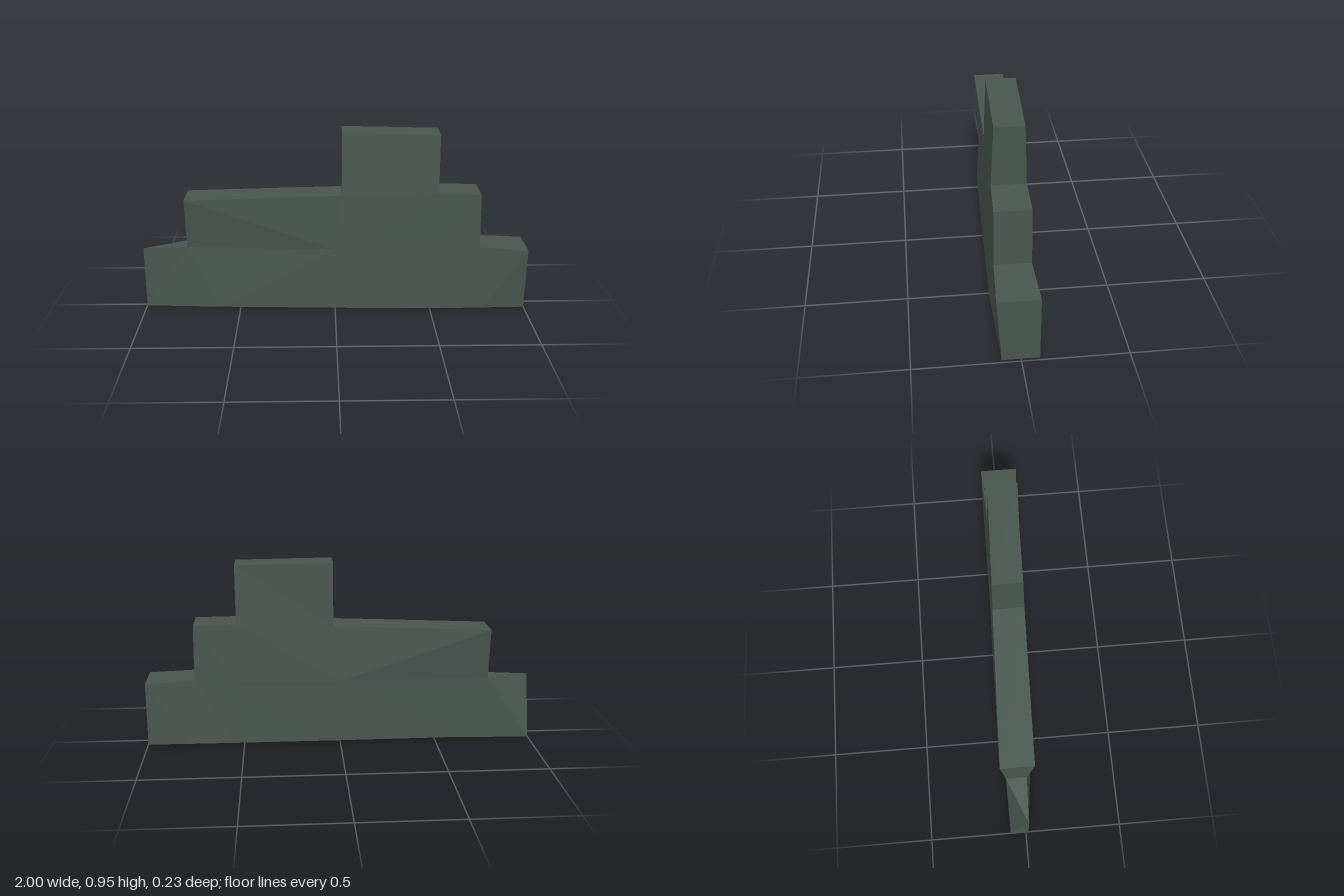
import * as THREE from 'three';

// Lattice rows from bottom to top; each node is [x, y, front z, back z].
// Columns run left to right; a missing node lies outside the stepped outline.
const ROWS = [
  [[-1, 0, 0.015, -0.08], [-0.6, 0.01, 0.06, -0.085], [0.035, 0.01, 0.085, -0.09],
    [0.55, 0.01, 0.1, -0.09], [0.78, 0.01, 0.095, -0.088], [0.995, 0.01, 0.09, -0.085]],
  [[-1, 0.325, 0.01, 0.01], [-0.77, 0.335, 0.02, -0.085], [0, 0.34, 0.08, -0.1],
    [0.525, 0.34, 0.095, -0.085], [0.745, 0.355, 0.1, -0.077], [0.995, 0.34, 0.115, -0.085]],
  [null, [-0.77, 0.602, 0.055, -0.115], [0.035, 0.63, 0.075, -0.087],
    [0.525, 0.645, 0.09, -0.078], [0.74, 0.64, 0.1, -0.075]],
  [null, null, [0.035, 0.953, 0.065, -0.085], [0.525, 0.945, 0.076, -0.068]],
];

const node = (r, c) => ROWS[r]?.[c] ?? null;
const hasCell = (r, c) =>
  !!(node(r, c) && node(r, c + 1) && node(r + 1, c) && node(r + 1, c + 1));

function buildSlab() {
  const positions = [];
  const front = (n) => [n[0], n[1], n[2]];
  const back = (n) => [n[0], n[1], n[3]];
  const tri = (a, b, c) => positions.push(...a, ...b, ...c);

  // Side wall along an outline edge, given in counterclockwise order
  const wall = (p, q) => {
    tri(front(p), back(p), back(q));
    tri(front(p), back(q), front(q));
  };

  for (let r = 0; r < ROWS.length - 1; r++) {
    for (let c = 0; c < 5; c++) {
      if (!hasCell(r, c)) continue;
      const bl = node(r, c), br = node(r, c + 1);
      const tl = node(r + 1, c), tr = node(r + 1, c + 1);
      // The long upper shoulder folds along the opposite diagonal
      const halves = r === 1 && c === 1
        ? [[bl, br, tl], [br, tr, tl]]
        : [[bl, br, tr], [bl, tr, tl]];
      for (const [a, b, d] of halves) {
        tri(front(a), front(b), front(d));
        tri(back(a), back(d), back(b));
      }
      // Close the slab wherever the neighbouring cell is empty
      if (!hasCell(r - 1, c)) wall(bl, br);
      if (!hasCell(r, c + 1)) wall(br, tr);
      if (!hasCell(r + 1, c)) wall(tr, tl);
      if (!hasCell(r, c - 1)) wall(tl, bl);
    }
  }

  const geometry = new THREE.BufferGeometry();
  geometry.setAttribute('position', new THREE.Float32BufferAttribute(positions, 3));
  geometry.computeVertexNormals();
  return geometry;
}

export function createModel() {
  const group = new THREE.Group();
  group.name = 'steppedWall';

  const stone = new THREE.MeshStandardMaterial({ color: 0x4a554f, flatShading: true });
  stone.name = 'dark grey green stone';

  const slab = new THREE.Mesh(buildSlab(), stone);
  slab.name = 'steppedSlab';
  group.add(slab);
  return group;
}
